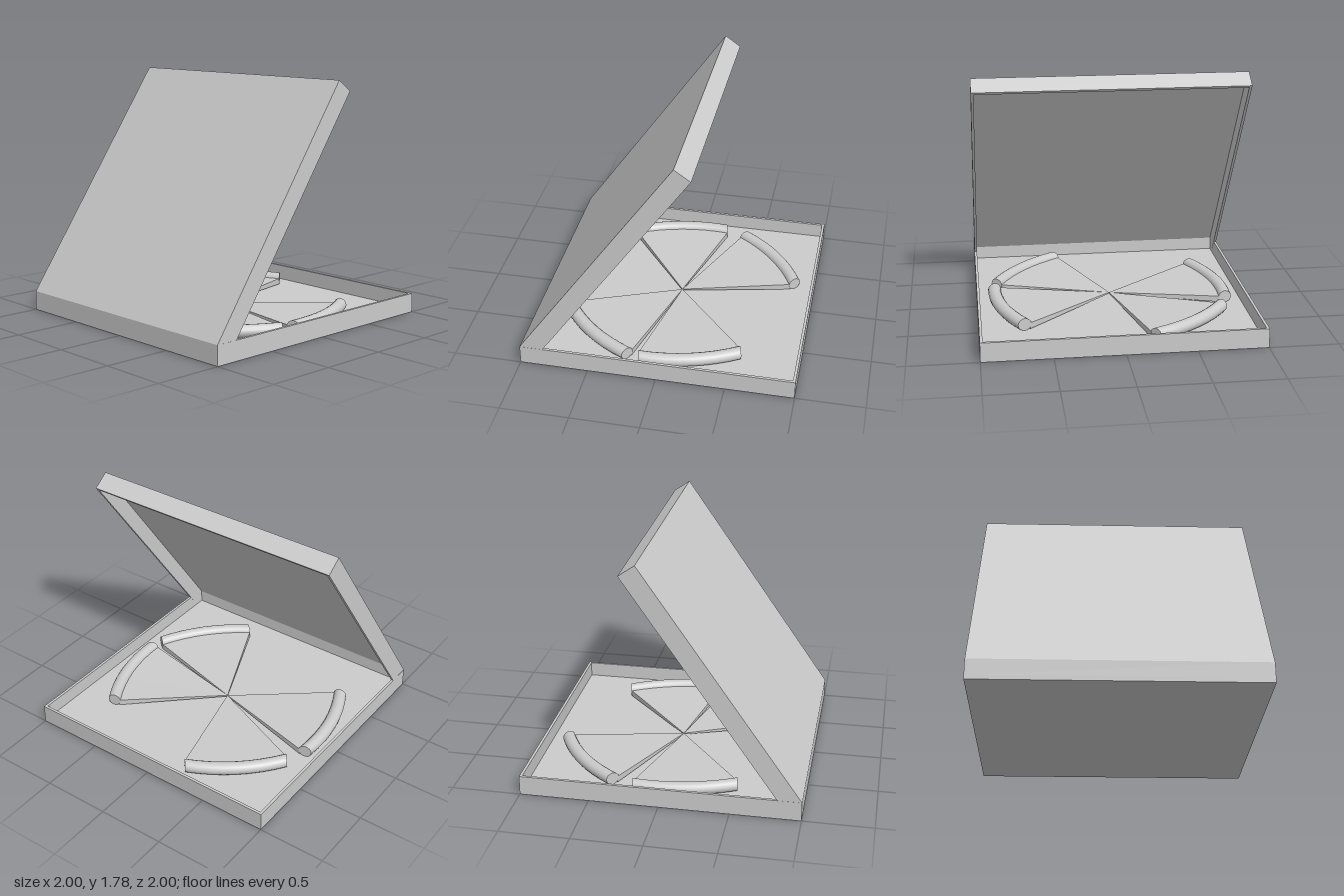
import * as THREE from 'three';

const material = new THREE.MeshStandardMaterial({ color: 0xcccccc });
const H = 0.142, WALL = 0.02, PANEL = 0.026;

function add(parent, name, geometry) {
  const mesh = new THREE.Mesh(geometry, material);
  mesh.name = name;
  parent.add(mesh);
  return mesh;
}

// Box given by its lower and upper limits
function block(parent, name, x0, x1, y0, y1, z0, z1) {
  const g = new THREE.BoxGeometry(x1 - x0, y1 - y0, z1 - z0);
  add(parent, name, g).position.set((x0 + x1) / 2, (y0 + y1) / 2, (z0 + z1) / 2);
}

// Bowed line of the crust: distance from the tip at sideways offset v
const HALF = 0.37;
const bow = v => 0.85 - 0.055 * (v / HALF) ** 2;

// Thin wedge, tapering from the crust to the tip
function wedgeGeometry() {
  const top = [[0, 0.066, 0]], bottom = [[0, 0.056, 0]], n = 8;
  for (let i = 0; i <= n; i++) {
    const v = HALF * (1 - 2 * i / n), u = bow(v) - 0.04;
    top.push([u, 0.082, v]);
    bottom.push([u, 0.036, v]);
  }
  const p = [], tri = (a, b, c) => p.push(...a, ...b, ...c);
  for (let i = 0; i < top.length; i++) {
    const j = (i + 1) % top.length;
    tri(top[i], bottom[i], bottom[j]);
    tri(top[i], bottom[j], top[j]);
    if (i > 0 && j > 0) {
      tri(top[0], top[i], top[j]);
      tri(bottom[0], bottom[j], bottom[i]);
    }
  }
  const g = new THREE.BufferGeometry();
  g.setAttribute('position', new THREE.Float32BufferAttribute(p, 3));
  g.computeVertexNormals();
  return g;
}

// Capped cylinder lying along z, its sections shifted along the bow
function crustGeometry() {
  const g = new THREE.CylinderGeometry(0.05, 0.05, 2 * HALF, 16, 8);
  g.rotateX(Math.PI / 2);
  const pos = g.attributes.position;
  for (let i = 0; i < pos.count; i++) {
    pos.setX(i, pos.getX(i) + bow(pos.getZ(i)));
    pos.setY(i, pos.getY(i) * 0.92 + 0.075);
  }
  g.computeVertexNormals();
  return g;
}

export function createModel() {
  const model = new THREE.Group();
  model.name = 'openBoxWithSlices';

  // Tray
  const tray = new THREE.Group();
  tray.name = 'tray';
  model.add(tray);
  block(tray, 'trayFloor', -1, 1, 0, 0.03, -1, 1);
  for (const s of [-1, 1]) {
    const a = Math.min(s, s * (1 - WALL)), b = Math.max(s, s * (1 - WALL));
    block(tray, 'traySideWall', -1, 1, 0.03, H, a, b);
    block(tray, 'trayEndWall', a, b, 0.03, H, -1 + WALL, 1 - WALL);
  }

  // Lid, hinged on the -x edge and open on its hinge side
  const lid = new THREE.Group();
  lid.name = 'lid';
  lid.position.set(-1, H, 0);
  lid.rotation.z = Math.atan2(1.635, 1.14);
  model.add(lid);
  const L = 1.993, W = 0.999;
  block(lid, 'lidPanel', 0, L, -PANEL, 0, -W, W);
  block(lid, 'lidEndWall', L - WALL, L, -0.14, -PANEL, -W, W);
  block(lid, 'lidLeftWall', 0, L - WALL, -0.14, -PANEL, W - WALL, W);
  block(lid, 'lidRightWall', 0, L - WALL, -0.14, -PANEL, -W, -W + WALL);

  // Four slices around the centre
  const wedge = wedgeGeometry(), crust = crustGeometry();
  for (const degrees of [-101, -40, 75, 131]) {
    const slice = new THREE.Group();
    slice.name = 'slice';
    slice.rotation.y = -THREE.MathUtils.degToRad(degrees);
    add(slice, 'sliceWedge', wedge);
    add(slice, 'sliceCrust', crust);
    model.add(slice);
  }
  return model;
}
